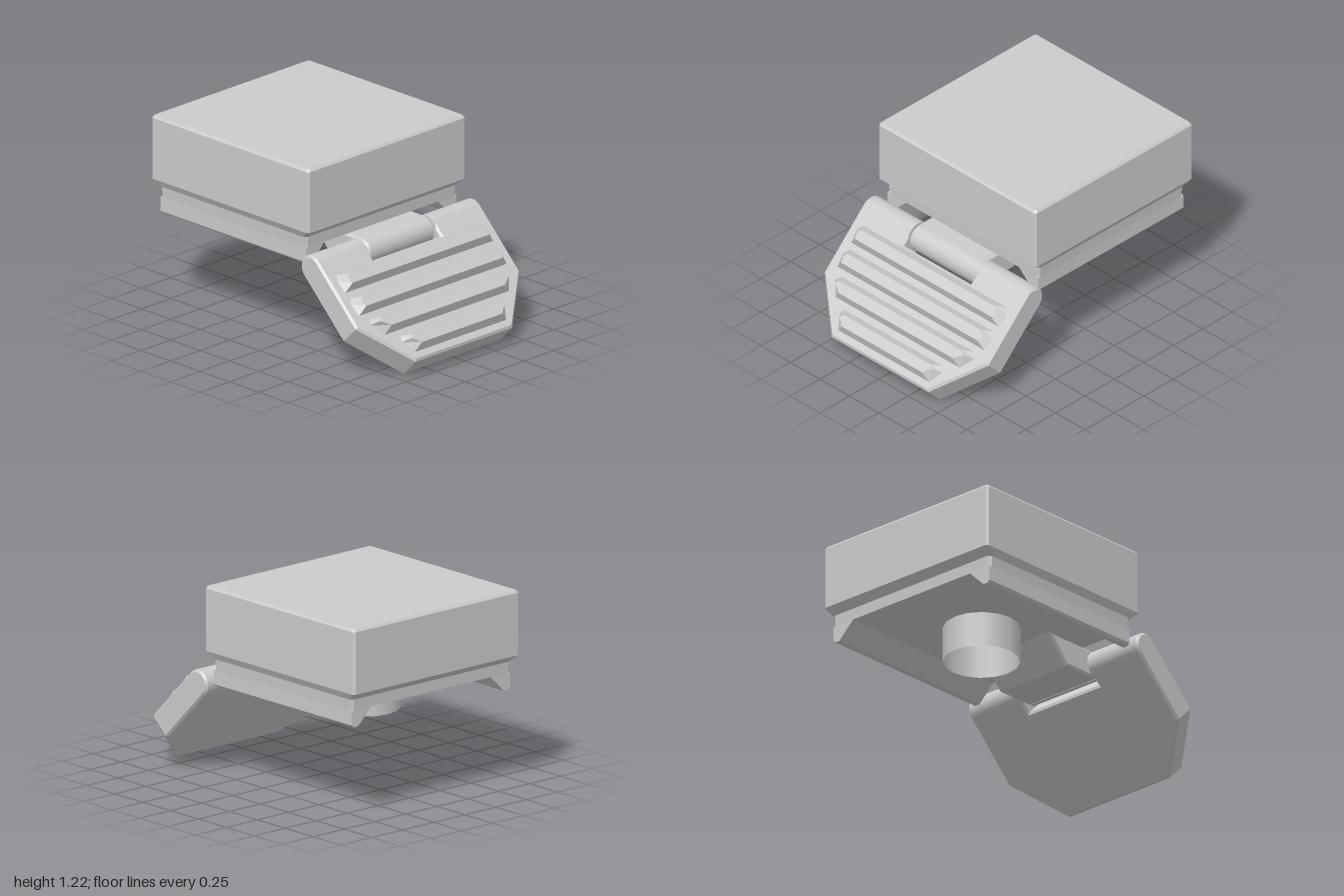
import * as THREE from 'three';
import { toCreasedNormals } from 'three/addons/utils/BufferGeometryUtils.js';

const material = new THREE.MeshStandardMaterial({ color: 0xcccccc, side: THREE.DoubleSide });

function part(name, geometry, parent) {
  const mesh = new THREE.Mesh(geometry, material);
  mesh.name = name;
  parent.add(mesh);
  return mesh;
}

// Flat-faced solid through stacked rings of [x, y, z] points, bottom ring first
function loft(rings) {
  const pos = [];
  const tri = (...pts) => pts.forEach((p) => pos.push(...p));
  const n = rings[0].length;
  for (let i = 0; i < rings.length - 1; i++) {
    for (let j = 0; j < n; j++) {
      const k = (j + 1) % n;
      const lo = rings[i], hi = rings[i + 1];
      tri(lo[j], lo[k], hi[k]);
      tri(lo[j], hi[k], hi[j]);
    }
  }
  const bottom = rings[0], top = rings[rings.length - 1];
  for (let j = 1; j < n - 1; j++) {
    tri(bottom[0], bottom[j + 1], bottom[j]);
    tri(top[0], top[j], top[j + 1]);
  }
  const g = new THREE.BufferGeometry();
  g.setAttribute('position', new THREE.Float32BufferAttribute(pos, 3));
  g.computeVertexNormals();
  return g;
}

// Rectangle with cut corners, counter-clockwise from above
function cutRect(y, hx, hz, c) {
  return [
    [hx, hz - c], [hx, c - hz], [hx - c, -hz], [c - hx, -hz],
    [-hx, c - hz], [-hx, hz - c], [c - hx, hz], [hx - c, hz],
  ].map(([x, z]) => [x, y, z]);
}

const polygon = (pts) => new THREE.Shape(pts.map(([x, y]) => new THREE.Vector2(x, y)));

export function createModel() {
  const model = new THREE.Group();
  const bodyX = -0.33, ceiling = 0.715;

  // Body: chamfered block tapering to a narrower base
  part('body', loft([
    cutRect(ceiling, 0.617, 0.64, 0.02),
    cutRect(0.785, 0.62, 0.645, 0.02),
    cutRect(0.83, 0.67, 0.67, 0.015),
    cutRect(1.22, 0.67, 0.67, 0.015),
    cutRect(1.235, 0.657, 0.657, 0.01),
  ]), model).position.x = bodyX;

  // Rails with sloped inner faces, leaving a channel underneath
  for (const s of [1, -1]) {
    const shape = polygon([[0.64 * s, ceiling], [0.64 * s, 0.625], [0.625 * s, 0.61],
      [0.59 * s, 0.61], [0.48 * s, ceiling]]);
    const rail = new THREE.ExtrudeGeometry(shape, { depth: 1.234, bevelEnabled: false });
    rail.rotateY(Math.PI / 2).translate(bodyX - 0.617, 0, 0);
    part(s < 0 ? 'leftRail' : 'rightRail', rail, model);
  }

  // Open tube under the body
  part('socket', new THREE.CylinderGeometry(0.233, 0.233, ceiling - 0.495, 16, 1, true), model)
    .position.set(bodyX, (ceiling + 0.495) / 2, 0);

  // Hinge bracket with a rounded nose
  const hinge = new THREE.Vector3(0.38, 0.62, 0), radius = 0.085;
  const profile = polygon([[-0.025, ceiling - 0.005], [0.125, 0.535]]);
  profile.lineTo(hinge.x, hinge.y - radius);
  profile.absarc(hinge.x, hinge.y, radius + 0.003, -Math.PI / 2, Math.PI / 2, false);
  profile.closePath();
  const bracket = new THREE.ExtrudeGeometry(profile, {
    depth: 0.53, bevelSize: 0.015, bevelThickness: 0.015, bevelOffset: -0.015,
    bevelSegments: 1, curveSegments: 16,
  });
  part('hingeBracket', toCreasedNormals(bracket.translate(0, 0, -0.265), 0.5), model);

  // Flap, built flat along +x and tilted down 45 degrees
  const flap = new THREE.Group();
  flap.name = 'flap';
  flap.position.copy(hinge);
  flap.rotation.z = -Math.PI / 4;
  model.add(flap);

  const b = 0.014;
  const half = [[-0.01, 0.285], [-0.01, 0.695], [0.474, 0.695], [0.79, 0.41]];
  const outline = [[0.1, 0.285], ...half,
    ...half.map(([x, z]) => [x, -z]).reverse(), [0.1, -0.285]];
  const plate = new THREE.ExtrudeGeometry(polygon(outline), {
    depth: 2 * (radius - b), bevelSize: b, bevelThickness: b, bevelOffset: -b, bevelSegments: 1,
  });
  part('flapPlate', plate.rotateX(-Math.PI / 2).translate(0, b - radius, 0), flap);

  // Rounded hinge ends either side of the notch
  const barrel = [[0, 0.285], [radius, 0.285], [radius, 0.681], [radius - b, 0.695], [0, 0.695]]
    .map(([r, y]) => new THREE.Vector2(r, y));
  for (const s of [1, -1]) {
    const g = toCreasedNormals(new THREE.LatheGeometry(barrel, 32), 0.5);
    part('hingeBarrel', g.rotateX(s * Math.PI / 2), flap);
  }

  // Grip ribs: [distance from hinge, half length at upper edge, at middle, at lower edge]
  const ribs = [[0.177, 0.61, 0.64, 0.63], [0.342, 0.61, 0.64, 0.63],
    [0.507, 0.56, 0.595, 0.53], [0.672, 0.42, 0.44, 0.39]];
  for (const [u, a, m, c] of ribs) {
    const ring = (y, w, inset) => [
      [u + w, y, c - inset], [u + w, y, inset - c], [u - w * 0.4, y, inset - m],
      [u - w, y, inset - a], [u - w, y, a - inset], [u - w * 0.4, y, m - inset],
    ];
    part('gripRib', loft([ring(0.08, 0.065, 0), ring(0.136, 0.033, 0.05)]), flap);
  }
  return model;
}
